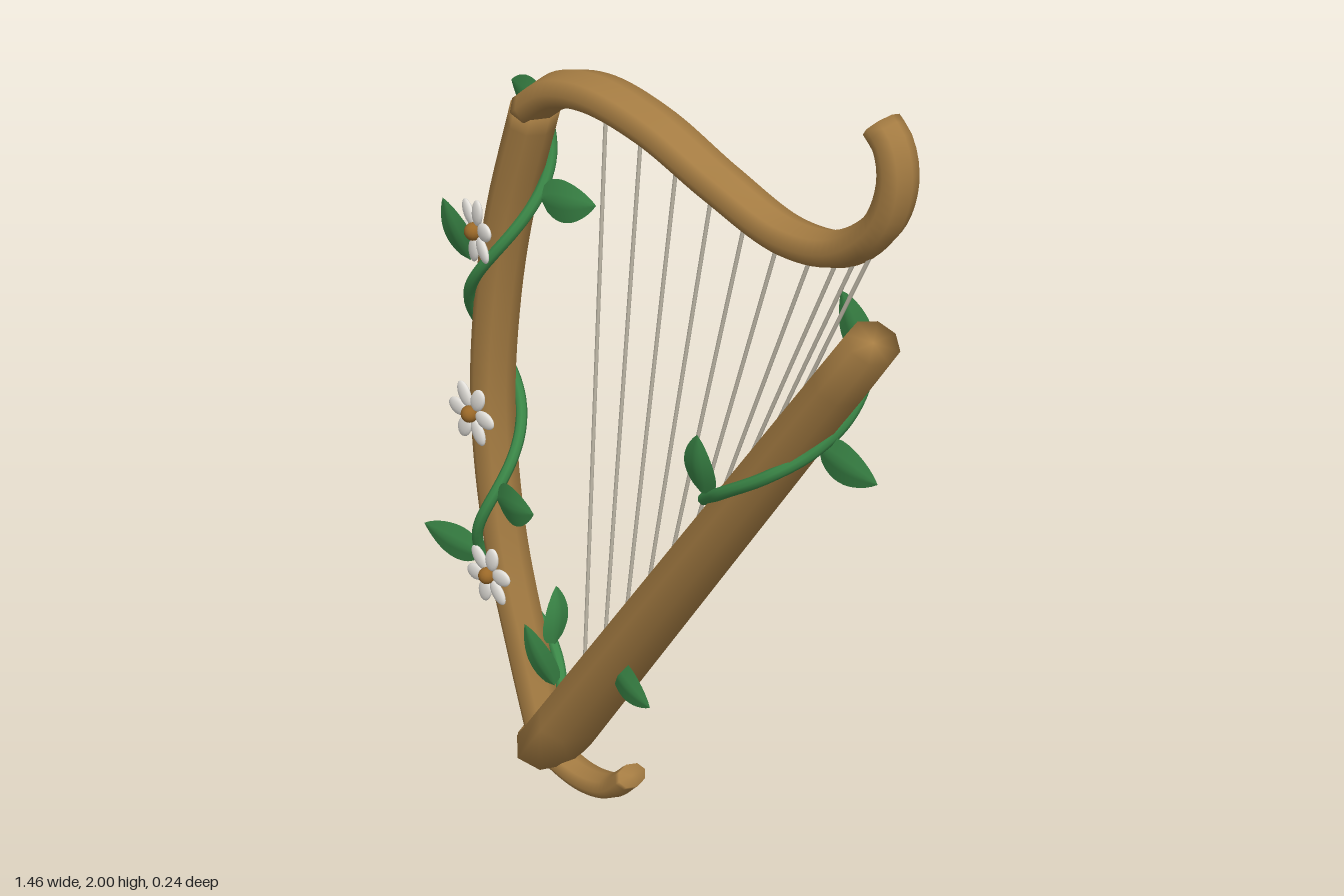
import * as THREE from 'three';

const mat = (name, color, side = THREE.FrontSide) => {
  const m = new THREE.MeshStandardMaterial({ color, side });
  m.name = name;
  return m;
};
const V = (x, y, z = 0) => new THREE.Vector3(x, y, z);

// Closed eight-sided tube with an oval section along a curve in the x-y plane.
// from, to: [in-plane radius, z radius] at the two ends
function sweep(points, from, to, steps, sides = 8) {
  const curve = new THREE.CatmullRomCurve3(points.map(p => V(...p)));
  const pos = [], idx = [];
  for (let i = 0; i <= steps; i++) {
    const t = i / steps, p = curve.getPointAt(t), d = curve.getTangentAt(t);
    const rn = THREE.MathUtils.lerp(from[0], to[0], t), rz = THREE.MathUtils.lerp(from[1], to[1], t);
    for (let j = 0; j < sides; j++) {
      const a = (j / sides) * Math.PI * 2, c = Math.cos(a) * rn;
      pos.push(p.x - d.y * c, p.y + d.x * c, Math.sin(a) * rz);
    }
  }
  for (let i = 0; i < steps; i++) {
    for (let j = 0; j < sides; j++) {
      const a = i * sides + j, b = i * sides + (j + 1) % sides;
      idx.push(a, b, a + sides, b, b + sides, a + sides);
    }
  }
  // softly shaded end caps
  for (const t of [0, 1]) {
    const s = t * steps * sides, p = curve.getPointAt(t), c = pos.length / 3;
    pos.push(p.x, p.y, 0);
    for (let j = 0; j < sides; j++) {
      const a = s + j, b = s + (j + 1) % sides;
      if (t) idx.push(c, a, b); else idx.push(c, b, a);
    }
  }
  const g = new THREE.BufferGeometry();
  g.setAttribute('position', new THREE.Float32BufferAttribute(pos, 3));
  g.setIndex(idx);
  g.computeVertexNormals();
  return g;
}

// Broad pointed leaf of unit length along +y, gently folded along its midrib
function leafGeometry() {
  const g = new THREE.PlaneGeometry(2, 1, 6, 12), p = g.attributes.position;
  for (let i = 0; i < p.count; i++) {
    const s = p.getX(i), t = p.getY(i) + 0.5;
    const w = 0.84 * Math.pow(t, 0.55) * Math.pow(1 - t, 0.9);
    p.setXYZ(i, s * w, t, 0.07 * Math.sin(t * Math.PI) - Math.abs(s) * w * 0.2);
  }
  g.computeVertexNormals();
  return g;
}

export function createModel() {
  const group = new THREE.Group();
  const wood = mat('wood', 0xa67d43);
  const stringMat = mat('string', 0xc6bfae);
  const green = mat('vine green', 0x3c8a49, THREE.DoubleSide);
  const petalMat = mat('petal white', 0xf3f0ea);
  const heartMat = mat('flower centre', 0x9a6828);

  const add = (name, geometry, material, parent = group) => {
    const m = new THREE.Mesh(geometry, material);
    m.name = name;
    parent.add(m);
    return m;
  };

  // Wooden frame
  const pillarPts = [[-0.385, 0.07], [-0.455, 0.3], [-0.535, 0.6], [-0.565, 0.93],
    [-0.54, 1.2], [-0.485, 1.45], [-0.385, 1.735]];
  add('soundbox', sweep([[-0.365, 0.085], [0.137, 0.799], [0.64, 1.513]],
    [0.073, 0.118], [0.055, 0.065], 12), wood);
  add('pillar', sweep(pillarPts, [0.046, 0.056], [0.05, 0.061], 36), wood);
  add('neck', sweep([[-0.385, 1.735], [-0.3, 1.793], [-0.18, 1.816], [0, 1.79], [0.2, 1.722],
    [0.4, 1.668], [0.55, 1.688], [0.655, 1.775], [0.686, 1.87], [0.67, 1.94], [0.637, 1.973]],
  [0.042, 0.074], [0.038, 0.042], 64), wood);
  add('foot', sweep([[-0.45, 0.085], [-0.36, 0.05], [-0.25, 0.033], [-0.15, 0.058], [-0.08, 0.122]],
    [0.034, 0.046], [0.029, 0.042], 24), wood);

  // Strings fan from the neck into evenly spaced points inside the soundbox
  const tops = [[-0.153, 1.79], [-0.042, 1.77], [0.069, 1.74], [0.175, 1.7], [0.275, 1.67],
    [0.37, 1.65], [0.465, 1.65], [0.54, 1.67], [0.59, 1.69], [0.63, 1.71]];
  const strings = new THREE.Group();
  strings.name = 'strings';
  group.add(strings);
  tops.forEach(([x, y], i) => {
    const a = V(x, y), b = V(-0.25 + i * 0.0735, 0.315 + i * 0.1045), d = a.clone().sub(b);
    const m = add('string', new THREE.CylinderGeometry(0.0045, 0.0045, d.length(), 8), stringMat, strings);
    m.position.copy(a).add(b).multiplyScalar(0.5);
    m.quaternion.setFromUnitVectors(V(0, 1), d.normalize());
  });

  // Vines: a spiral round the pillar and a short wrap round the soundbox
  const pillar = new THREE.CatmullRomCurve3(pillarPts.map(p => V(...p)));
  const spiral = [];
  for (let i = 0; i <= 50; i++) {
    const p = pillar.getPointAt(0.08 + 0.91 * i / 50);
    const a = (p.y - 0.65) / 0.66 * Math.PI * 2;
    spiral.push(V(p.x + Math.sin(a) * 0.062, p.y, Math.cos(a) * 0.07));
  }
  const wrap = [V(0.2, 1.0, 0.04), V(0.3, 1.07, 0.08), V(0.42, 1.15, 0.07), V(0.5, 1.22, 0.02),
    V(0.55, 1.3, -0.03), V(0.56, 1.38, -0.07), V(0.545, 1.44, -0.085)];
  for (const [name, pts] of [['pillarVine', spiral], ['soundboxVine', wrap]]) {
    add(name, new THREE.TubeGeometry(new THREE.CatmullRomCurve3(pts), 100, 0.014, 8), green);
  }

  // Leaves: [base, tip, facing (front by default)]
  const leafGeo = leafGeometry();
  const leaves = [
    [[-0.45, 1.685, -0.08], [-0.6, 1.71, -0.11]],
    [[-0.4, 1.505, -0.02], [-0.245, 1.525, -0.05]],
    [[-0.545, 1.335, 0.07], [-0.6, 1.48, 0.1]],
    [[-0.55, 0.91, -0.07], [-0.675, 0.985, -0.1]],
    [[-0.5, 0.725, 0.05], [-0.34, 0.755, 0.07]],
    [[-0.585, 0.535, 0.04], [-0.735, 0.58, 0.09]],
    [[-0.325, 0.275, 0.03], [-0.42, 0.41, 0.04]],
    [[-0.425, 0.31, -0.06], [-0.435, 0.465, -0.075], [1, 0, -0.2]],
    [[0.225, 1.035, 0.07], [0.23, 1.185, 0.09]],
    [[0.5, 1.225, 0.0], [0.65, 1.19, -0.02]],
    [[0.55, 1.425, -0.08], [0.445, 1.53, -0.11]],
    [[-0.085, 0.455, 0.06], [0.06, 0.41, 0.07]],
    [[0.065, 0.715, -0.09], [0.02, 0.805, -0.11]],
  ];
  for (const [from, to, facing = [0, 0, 1]] of leaves) {
    const base = V(...from), along = V(...to).sub(base), length = along.length();
    const y = along.normalize(), x = y.clone().cross(V(...facing)).normalize();
    const m = add('leaf', leafGeo, green);
    m.quaternion.setFromRotationMatrix(new THREE.Matrix4().makeBasis(x, y, x.clone().cross(y)));
    m.position.copy(base);
    m.scale.setScalar(length);
  }

  // Six-petalled flowers: [x, y, z, turn about y, roll]
  const petalGeo = new THREE.SphereGeometry(1, 14, 10).scale(0.022, 0.033, 0.009).translate(0, 0.049, 0);
  const heartGeo = new THREE.SphereGeometry(0.021, 14, 10);
  for (const [x, y, z, turn, roll] of [[-0.51, 1.42, 0.08, -0.25, -0.25],
    [-0.565, 0.935, 0.066, 0, 0.5], [-0.52, 0.515, 0.066, 0, -0.3]]) {
    const flower = new THREE.Group();
    flower.name = 'flower';
    flower.position.set(x, y, z);
    flower.rotation.set(0, turn, roll);
    group.add(flower);
    for (let i = 0; i < 6; i++) add('petal', petalGeo, petalMat, flower).rotation.z = i * Math.PI / 3;
    add('flowerCentre', heartGeo, heartMat, flower).position.z = 0.006;
  }
  return group;
}
